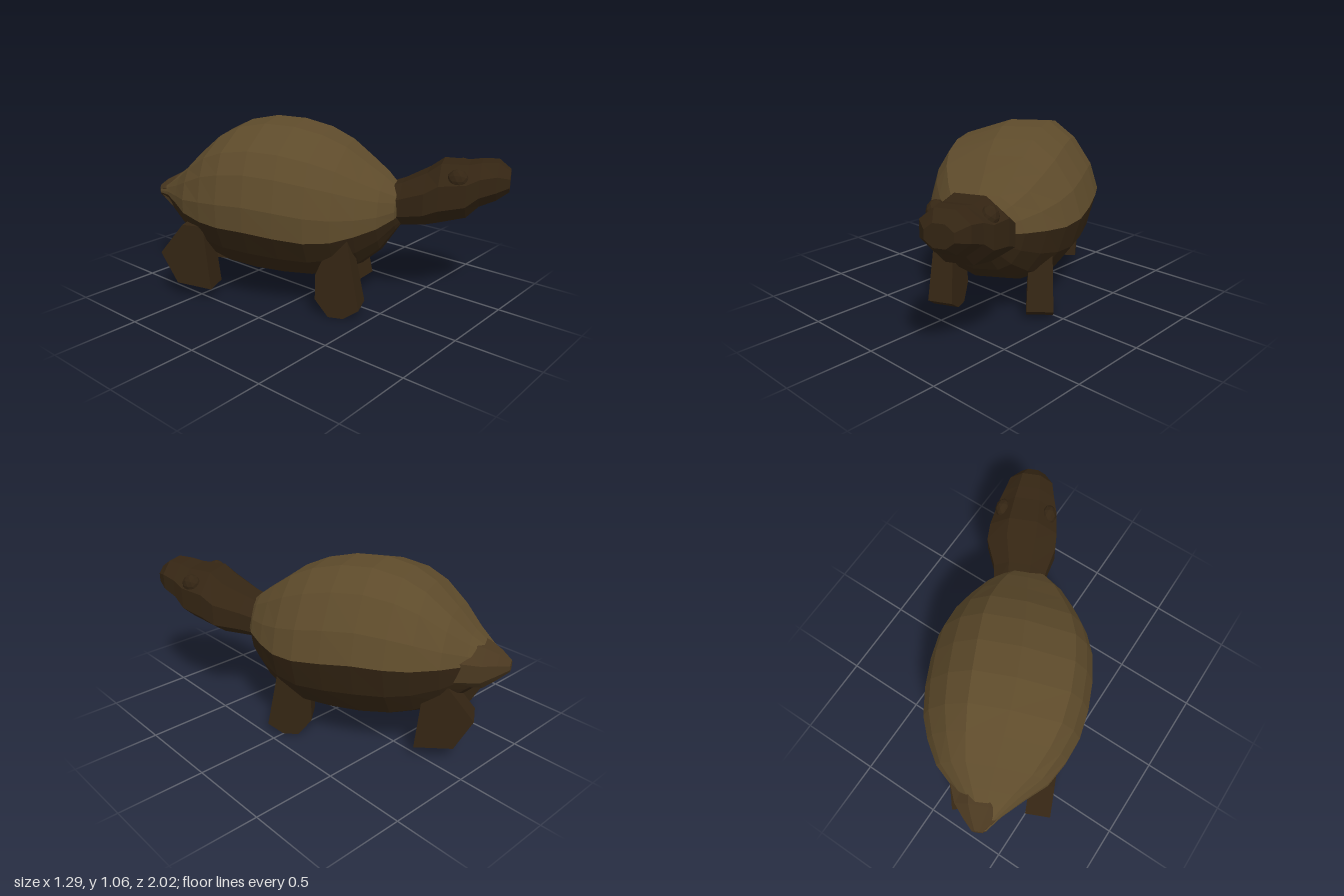
import * as THREE from 'three';

const mat = (color) => new THREE.MeshStandardMaterial({ color, flatShading: true, side: THREE.DoubleSide, roughness: 0.9 });

// Skin a row of cross-sections, each listed anticlockwise seen from +z, ordered by rising z
function loft(rings, closed) {
  const n = rings[0].length;
  const index = [];
  for (let i = 0; i < rings.length - 1; i++) {
    for (let j = 0; j < (closed ? n : n - 1); j++) {
      const k = (j + 1) % n;
      const a = i * n + j, b = i * n + k, c = (i + 1) * n + k, d = (i + 1) * n + j;
      index.push(a, b, c, a, c, d);
    }
  }
  if (closed) {
    const last = (rings.length - 1) * n;
    for (let j = 1; j < n - 1; j++) {
      index.push(0, j + 1, j);
      index.push(last, last + j, last + j + 1);
    }
  }
  const g = new THREE.BufferGeometry();
  g.setAttribute('position', new THREE.Float32BufferAttribute(rings.flat(2), 3));
  g.setIndex(index);
  g.computeVertexNormals();
  return g;
}

// Body stations: z, half width, crest, rim and bottom heights
const BODY = [
  [-1.05, 0.02, 0.57, 0.55, 0.53],
  [-0.96, 0.09, 0.63, 0.57, 0.47],
  [-0.85, 0.2, 0.71, 0.57, 0.38],
  [-0.74, 0.32, 0.81, 0.57, 0.3],
  [-0.6, 0.4, 0.92, 0.56, 0.23],
  [-0.47, 0.45, 0.98, 0.56, 0.19],
  [-0.3, 0.475, 1.01, 0.56, 0.165],
  [-0.12, 0.48, 1.0, 0.54, 0.16],
  [0.05, 0.465, 0.96, 0.52, 0.165],
  [0.19, 0.415, 0.9, 0.515, 0.2],
  [0.31, 0.34, 0.82, 0.53, 0.25],
  [0.42, 0.25, 0.75, 0.55, 0.34],
  [0.5, 0.14, 0.69, 0.57, 0.46],
  [0.53, 0.03, 0.62, 0.57, 0.5]
];

// Profiles from one rim to the other: [share of half width, share of the height from the rim]
const SHELL = [[1, 0], [0.94, 0.36], [0.77, 0.75], [0.54, 1.02], [0.05, 1.1], [-0.6, 1], [-0.81, 0.75], [-0.98, 0.36], [-1.01, 0]];
const BELLY = [[-1.01, 0], [-0.86, 0.45], [-0.62, 0.82], [-0.3, 1], [0.3, 1], [0.62, 0.82], [0.86, 0.45], [1, 0]];

const CX = 0.04, CY = 0.55;

// The body leans to its right, the upper shell more than the belly
function lean(x, y, z) {
  const roll = THREE.MathUtils.mapLinear(y, 0.16, 0.95, 0.05, 0.18);
  const c = Math.cos(roll), s = Math.sin(roll), dy = y - CY;
  return [CX + x * c - dy * s, CY + x * s + dy * c, z];
}

function bodyPart(profile, heightIndex) {
  return loft(BODY.map((st) => {
    const [z, w, , rim] = st;
    return profile.map(([a, b]) => lean(a * w, rim + b * (st[heightIndex] - rim), z));
  }), false);
}

// Eight-sided stations: z, centre x, half width, top, bottom
const HEAD = [
  [0.38, 0.08, 0.145, 0.69, 0.48],
  [0.52, 0.085, 0.16, 0.74, 0.485],
  [0.66, 0.1, 0.21, 0.81, 0.5],
  [0.74, 0.1, 0.205, 0.87, 0.52],
  [0.89, 0.1, 0.18, 0.87, 0.56],
  [0.96, 0.1, 0.155, 0.885, 0.63],
  [1.05, 0.1, 0.13, 0.89, 0.67],
  [1.12, 0.1, 0.075, 0.84, 0.72]
];
const TAIL = [
  [-1.06, 0.065, 0.03, 0.59, 0.53],
  [-1.0, 0.07, 0.085, 0.635, 0.48],
  [-0.93, 0.075, 0.14, 0.67, 0.43],
  [-0.8, 0.08, 0.19, 0.7, 0.42]
];

function octagonLoft(stations) {
  const k = 1 / Math.cos(Math.PI / 8);
  return loft(stations.map(([z, cx, w, top, bottom]) =>
    Array.from({ length: 8 }, (_, j) => {
      const a = ((j + 0.5) * Math.PI) / 4;
      return [cx + Math.cos(a) * w * k, (top + bottom) / 2 + Math.sin(a) * k * (top - bottom) / 2, z];
    })), true);
}

// Leg: side outline of [z, y] points given thickness, narrowing towards the top
function legGeometry(outline, width, topScale) {
  const shape = new THREE.Shape(outline.map(([z, y]) => new THREE.Vector2(-z, y)));
  const g = new THREE.ExtrudeGeometry(shape, { depth: width, bevelEnabled: false });
  g.translate(0, 0, -width / 2).rotateY(Math.PI / 2);
  const p = g.attributes.position;
  for (let i = 0; i < p.count; i++) {
    const t = THREE.MathUtils.clamp(p.getY(i) / 0.47, 0, 1);
    p.setX(i, p.getX(i) * THREE.MathUtils.lerp(1, topScale, t));
  }
  g.computeVertexNormals();
  return g;
}

const FRONT_LEG = [[0.13, 0.06], [0.04, 0], [-0.05, 0], [-0.13, 0.1], [-0.13, 0.25], [-0.03, 0.48], [0.05, 0.48]];
const REAR_LEG = [[0.14, 0.075], [-0.08, 0.095], [-0.18, 0.28], [-0.03, 0.47], [0.1, 0.47]];

// Where each leg stands: name, outline, top scale, x, z, turn
const LEGS = [
  ['leftFrontLeg', FRONT_LEG, 0.8, 0.3, 0.16, 0.3],
  ['rightFrontLeg', FRONT_LEG, 0.7, -0.255, 0.225, 0],
  ['leftRearLeg', REAR_LEG, 0.9, 0.22, -0.735, 0.2],
  ['rightRearLeg', REAR_LEG, 0.9, -0.25, -0.7, 0]
];

export function createModel() {
  const root = new THREE.Group();
  root.name = 'tortoise';
  const animal = new THREE.Group();
  animal.name = 'body';
  animal.rotation.y = 0.42;
  root.add(animal);

  const shellMat = mat(0x5e4b2b);
  const skinMat = mat(0x342513);
  const tailMat = mat(0x4a3820);
  const add = (name, geometry, material) => {
    const m = new THREE.Mesh(geometry, material);
    m.name = name;
    animal.add(m);
    return m;
  };

  add('shell', bodyPart(SHELL, 2), shellMat);
  add('belly', bodyPart(BELLY, 4), skinMat);
  add('neckAndHead', octagonLoft(HEAD), skinMat);
  add('tail', octagonLoft(TAIL), tailMat);

  for (const [side, label] of [[1, 'left'], [-1, 'right']]) {
    const eye = add(label + 'Eye', new THREE.IcosahedronGeometry(0.06, 1), skinMat);
    eye.position.set(0.1 + side * 0.14, 0.8, 0.84);
    eye.scale.x = 0.8;
  }

  for (const [name, outline, topScale, x, z, turn] of LEGS) {
    const leg = add(name, legGeometry(outline, 0.16, topScale), skinMat);
    leg.position.set(x, 0, z);
    leg.rotation.y = turn;
  }
  return root;
}
